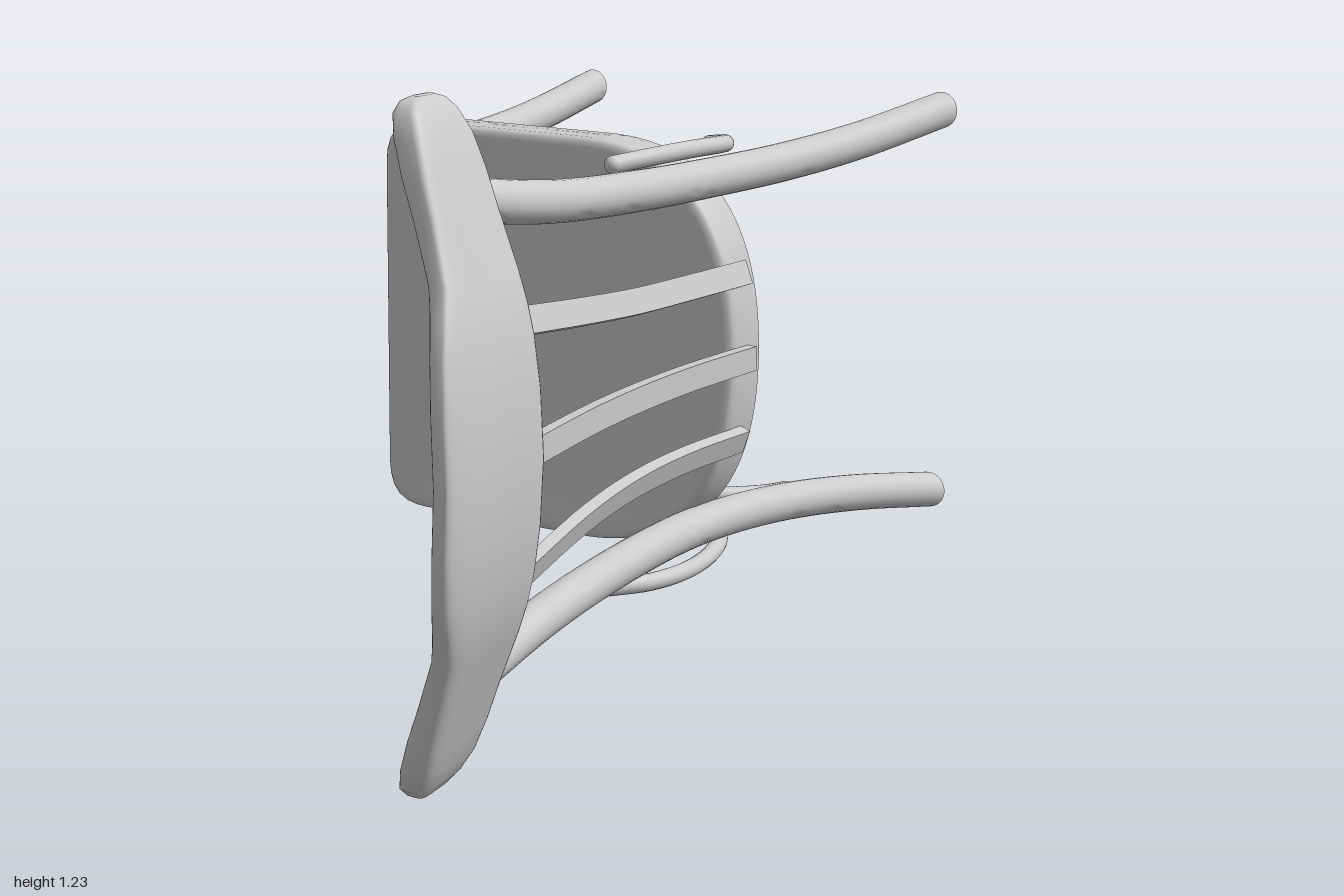
import * as THREE from 'three';
import { toCreasedNormals } from 'three/addons/utils/BufferGeometryUtils.js';

const MID = 0.615; // height of the chair's mirror plane (it lies on its side)
const material = new THREE.MeshStandardMaterial({ color: 0xcccccc, roughness: 0.8 });
const V = (x, y, z) => new THREE.Vector3(x, y, z);

// Skin a list of closed sections and close both ends with fans
function loft(sections) {
  const n = sections[0].length, pos = [], idx = [];
  sections.forEach(s => s.forEach(p => pos.push(p.x, p.y, p.z)));
  for (let i = 0; i < sections.length - 1; i++) {
    for (let j = 0; j < n; j++) {
      const k = (j + 1) % n, a = i * n + j, b = i * n + k;
      idx.push(a, b, b + n, a, b + n, a + n);
    }
  }
  [0, sections.length - 1].forEach((row, end) => {
    const c = sections[row].reduce((s, p) => s.add(p), V(0, 0, 0)).divideScalar(n);
    const ci = pos.length / 3;
    pos.push(c.x, c.y, c.z);
    for (let j = 0; j < n; j++) {
      const a = row * n + j, b = row * n + (j + 1) % n;
      if (end) idx.push(ci, a, b); else idx.push(ci, b, a);
    }
  });
  const g = new THREE.BufferGeometry();
  g.setAttribute('position', new THREE.Float32BufferAttribute(pos, 3));
  g.setIndex(idx);
  g.computeVertexNormals();
  return g;
}

export function createModel() {
  const chair = new THREE.Group();
  chair.name = 'chair';
  const body = new THREE.Group();
  body.name = 'chairBody';
  body.position.y = MID;
  chair.add(body);

  const add = (name, geometry, parent = body) => {
    const m = new THREE.Mesh(geometry, material);
    m.name = name;
    parent.add(m);
    return m;
  };

  // Thin round rod along a smooth path, with domed ends
  function rod(name, points) {
    const g = new THREE.Group();
    g.name = name;
    body.add(g);
    const curve = new THREE.CatmullRomCurve3(points);
    add(name + 'Rod', new THREE.TubeGeometry(curve, 48, 0.018, 16), g);
    for (const t of [0, 1]) {
      add(name + 'End', new THREE.SphereGeometry(0.018, 16, 12), g).position.copy(curve.getPoint(t));
    }
  }

  // Half-ellipse hoop: at(c, s) gives the point for cosine c and sine s
  const hoop = (name, at) => rod(name, Array.from({ length: 17 }, (_, i) => {
    const a = Math.PI * i / 16;
    return at(Math.cos(a), Math.sin(a));
  }));

  // Round leg whose ends are cut level with the floor
  const leg = (name, points) => {
    const sections = new THREE.CatmullRomCurve3(points).getPoints(48).map(p =>
      Array.from({ length: 24 }, (_, i) => {
        const a = 2 * Math.PI * i / 24;
        return V(p.x + 0.0405 * Math.cos(a), p.y + 0.0405 * Math.sin(a), p.z);
      }));
    add(name, toCreasedNormals(loft(sections), 0.6));
  };

  // Seat: square front, rounded back, slightly dished, shallow hollow underneath
  const outline = new THREE.Shape();
  outline.moveTo(0.385, 0);
  outline.bezierCurveTo(0.385, 0.23, 0.30, 0.425, 0.01, 0.426);
  outline.lineTo(-0.41, 0.43);
  outline.bezierCurveTo(-0.49, 0.43, -0.515, 0.4, -0.515, 0.33);
  outline.lineTo(-0.515, -0.33);
  outline.bezierCurveTo(-0.515, -0.4, -0.49, -0.43, -0.41, -0.43);
  outline.lineTo(0.01, -0.426);
  outline.bezierCurveTo(0.30, -0.425, 0.385, -0.23, 0.385, 0);
  const rim = outline.getSpacedPoints(120);
  rim.pop();
  const cx = -0.065;
  const seatRings = [[0.02, -0.226], [0.4, -0.227], [0.7, -0.231], [0.83, -0.239], [0.9, -0.254],
    [0.94, -0.272], [0.99, -0.275], [1, -0.27], [1, -0.186], [0.995, -0.176], [0.982, -0.169],
    [0.955, -0.167], [0.9, -0.169], [0.75, -0.175], [0.4, -0.179], [0.02, -0.18]];
  add('seat', toCreasedNormals(loft(seatRings.map(([s, z]) =>
    rim.map(p => V(cx + (p.x - cx) * s, p.y * s, z)))), 0.95));

  // Backrest: curved board, thick at its lower edge, thin at the top
  // [distance from middle, front x, back x, lower z, upper z, upper thickness]
  const stations = [
    [0, 0.43, 0.582, 0.685, 1.003, 0.05], [0.12, 0.423, 0.575, 0.685, 1.0, 0.05],
    [0.21, 0.411, 0.561, 0.685, 0.983, 0.05], [0.27, 0.397, 0.546, 0.686, 0.96, 0.052],
    [0.32, 0.383, 0.529, 0.687, 0.937, 0.055], [0.42, 0.355, 0.489, 0.689, 0.914, 0.065],
    [0.49, 0.339, 0.463, 0.692, 0.905, 0.072], [0.55, 0.331, 0.438, 0.70, 0.89, 0.075],
    [0.59, 0.331, 0.414, 0.715, 0.873, 0.065], [0.608, 0.336, 0.394, 0.735, 0.85, 0.045],
    [0.615, 0.345, 0.375, 0.76, 0.82, 0.02]];
  const soft = v => Math.sign(v) * Math.pow(Math.abs(v), 0.45);
  const boardSection = ([t, front, back, low, high, thick], side) =>
    Array.from({ length: 40 }, (_, i) => {
      const a = 2 * Math.PI * i / 40;
      const u = (soft(Math.sin(a)) + 1) / 2, v = (soft(Math.cos(a)) + 1) / 2;
      const x0 = THREE.MathUtils.lerp(front, back - thick, v);
      const x1 = THREE.MathUtils.lerp(back - Math.min(0.03, thick / 2), back, v);
      return V(x0 + (x1 - x0) * u, side * t, low + (high - low) * v);
    });
  add('backrest', loft([
    ...stations.slice(1).reverse().map(s => boardSection(s, -1)),
    ...stations.map(s => boardSection(s, 1))]));

  // Back slats: three bent flat bars between seat and backrest
  const slatPath = new THREE.CatmullRomCurve3([V(0.395, 0, -0.225), V(0.398, 0, 0),
    V(0.415, 0.006, 0.2), V(0.445, 0.022, 0.4), V(0.515, 0.058, 0.72)]);
  for (const side of [-1, 0, 1]) {
    const turn = side * 0.36, c = Math.cos(turn), s = Math.sin(turn);
    const sections = slatPath.getPoints(20).map(p =>
      [[1, -1], [1, 1], [-1, 1], [-1, -1]].map(([i, j]) => {
        const dx = i * 0.012, dy = j * 0.025;
        return V(p.x - Math.abs(side) * 0.02 + dx * c - dy * s,
          side * (0.172 + p.y) + dx * s + dy * c, p.z);
      }));
    add('backSlat', toCreasedNormals(loft(sections), 0.6));
  }

  for (const side of [-1, 1]) {
    const path = pts => pts.map(([x, y, z]) => V(x, side * y, z));

    // Back post and leg in one bent piece
    leg('backLeg', path([[0.405, 0.435, -1], [0.358, 0.392, -0.72], [0.318, 0.368, -0.47],
      [0.295, 0.36, -0.2], [0.306, 0.365, 0.05], [0.343, 0.387, 0.4], [0.385, 0.43, 0.72]]));

    // Front leg
    leg('frontLeg', path([[-0.537, 0.433, -1], [-0.492, 0.39, -0.7],
      [-0.461, 0.366, -0.45], [-0.445, 0.357, -0.22]]));

    // Bent brace joining seat and back post
    rod('sideBrace', path([[0.19, 0.405, -0.38], [0.262, 0.417, -0.325], [0.305, 0.426, -0.225],
      [0.322, 0.431, -0.1], [0.312, 0.428, 0.02], [0.285, 0.42, 0.115]]));

    // Hoop between front and back leg
    hoop('sideHoop', (c, s) => V(-0.065 + 0.342 * c, side * (0.365 - 0.02 * s), -0.57 + 0.277 * s));
  }

  // Hoop between the front legs
  hoop('frontHoop', (c, s) => V(-0.475 + 0.03 * s, 0.305 * c, -0.575 + 0.283 * s));

  return chair;
}
